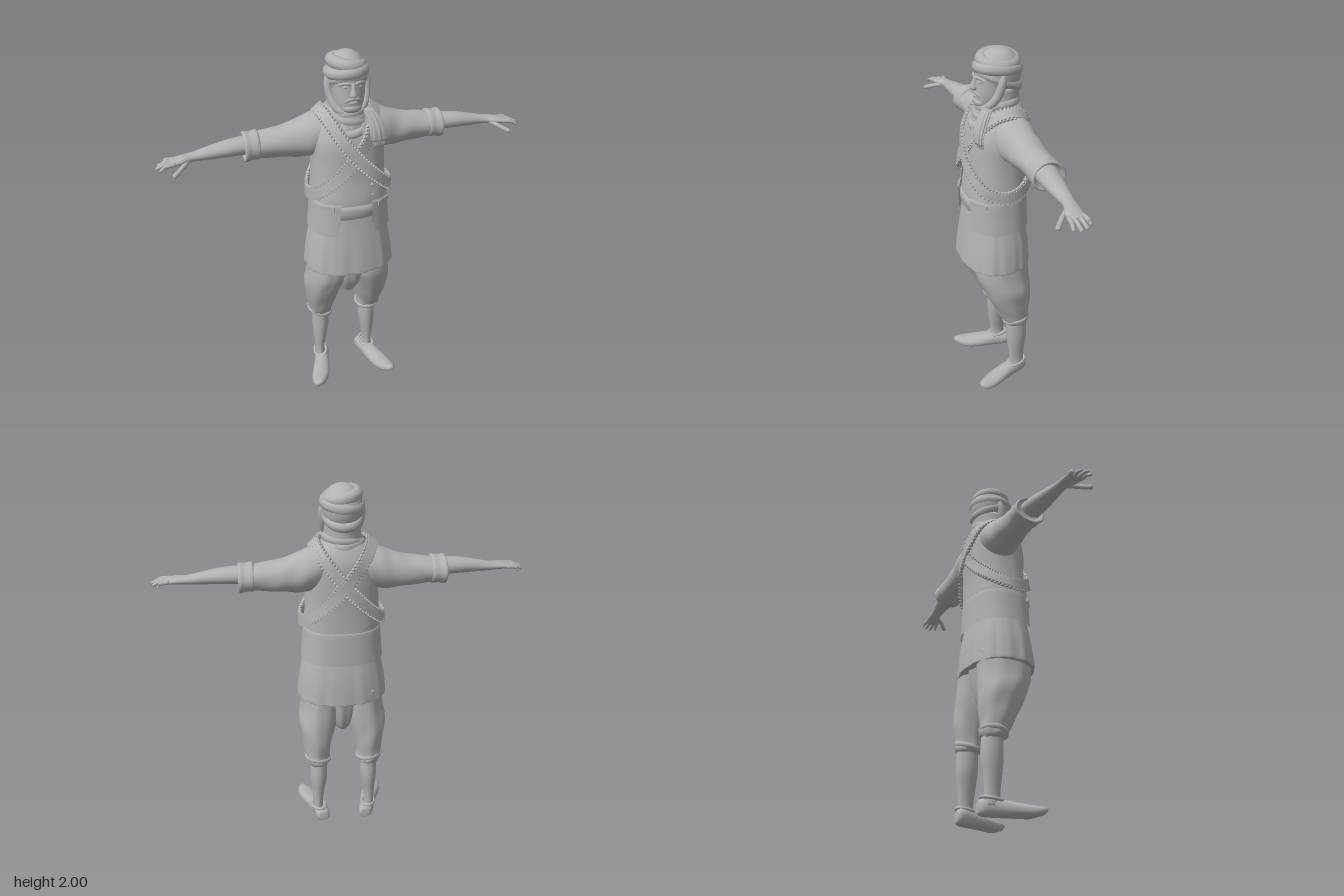
import * as THREE from 'three';
import { mergeGeometries, mergeVertices } from 'three/addons/utils/BufferGeometryUtils.js';

const V = (x, y, z) => new THREE.Vector3(x, y, z);
const spow = (v, e) => Math.sign(v) * Math.abs(v) ** e;
const clay = new THREE.MeshStandardMaterial({ color: 0xb2b2b2, side: THREE.DoubleSide });
clay.name = 'clay grey';

// Smoothly interpolate ring values between key cross-sections
function smoothRings(keys, steps) {
  const out = [];
  const at = i => keys[Math.max(0, Math.min(keys.length - 1, i))];
  for (let i = 0; i < keys.length - 1; i++) {
    for (let s = 0; s < steps; s++) {
      const u = s / steps;
      out.push(at(i).map((b, k) => {
        const a = at(i - 1)[k], c = at(i + 1)[k], d = at(i + 2)[k];
        return b + 0.5 * u * (c - a + u * (2 * a - 5 * b + 4 * c - d + u * (3 * (b - c) + d - a)));
      }));
    }
  }
  out.push(at(keys.length - 1));
  return out;
}

// Loft of ovals [cx, cy, cz, a, b, frontGap] along an axis; e < 1 makes them boxier
function loft(keys, { axis = 'y', n = 40, steps = 4, e = 1, cap = true, fold = () => 0 } = {}) {
  const rings = smoothRings(keys, steps);
  if (cap) {
    const tip = r => [r[0], r[1], r[2], 0, 0];
    rings.unshift(tip(rings[0]));
    rings.push(tip(rings[rings.length - 1]));
  }
  const pos = [], index = [];
  rings.forEach(([cx, cy, cz, a, b, gap = 0], i) => {
    const t0 = gap > 0 ? Math.asin(Math.min(1, gap / a) ** (1 / e)) : 0;
    for (let j = 0; j <= n; j++) {
      const t = t0 + (2 * Math.PI - 2 * t0) * (j % n === 0 && !t0 ? 0 : j / n);
      const k = 1 + fold(t, i / (rings.length - 1));
      const s = a * k * spow(Math.sin(t), e), c = b * k * spow(Math.cos(t), e);
      if (axis === 'y') pos.push(cx + s, cy, cz + c);
      else if (axis === 'x') pos.push(cx, cy + c, cz + s);
      else pos.push(cx + c, cy + s, cz);
      if (i && j) {
        const q = i * (n + 1) + j, p = q - n - 1;
        index.push(p - 1, p, q, p - 1, q, q - 1);
      }
    }
  });
  let g = new THREE.BufferGeometry();
  g.setAttribute('position', new THREE.Float32BufferAttribute(pos, 3));
  g.setIndex(index);
  g = mergeVertices(g, 1e-5);
  g.computeVertexNormals();
  return g;
}

function mirrored(geo) {
  const g = geo.clone().applyMatrix4(new THREE.Matrix4().makeScale(-1, 1, 1));
  g.index.array.reverse();
  return g;
}

const tube = (pts, r, closed = false, seg = 40) =>
  new THREE.TubeGeometry(new THREE.CatmullRomCurve3(pts, closed), seg, r, 10, closed);
const ball = (x, y, z, a, b, c) => new THREE.SphereGeometry(1, 24, 16).scale(a, b, c).translate(x, y, z);

// Cloth roll around the head or neck, tilted front to back and side to side
function wrap(y, rx, rz, cz, r, tilt, roll) {
  const pts = [];
  for (let i = 0; i < 16; i++) {
    const t = i / 16 * Math.PI * 2;
    pts.push(V(rx * Math.sin(t), y + tilt * Math.cos(t) + roll * Math.sin(t), cz + rz * Math.cos(t)));
  }
  return tube(pts, r, true, 56);
}

// Cartridge belt: round cartridges and a strap set across a closed path
function cartridgeBelt(pts) {
  const curve = new THREE.CatmullRomCurve3(pts, true), count = 76, bits = [];
  for (let i = 0; i < count; i++) {
    const p = curve.getPointAt(i / count), t = curve.getTangentAt(i / count);
    const n = V(p.x, Math.max(0, p.y - 1.58) * 1.5, p.z + 0.01);
    n.addScaledVector(t, -n.dot(t)).normalize();
    const m = new THREE.Matrix4().makeBasis(t, V(0, 0, 0).crossVectors(n, t), n).setPosition(p);
    bits.push(new THREE.CylinderGeometry(0.0085, 0.0085, 0.07, 8).applyMatrix4(m));
    bits.push(new THREE.BoxGeometry(0.024, 0.05, 0.018).applyMatrix4(m));
  }
  return mergeGeometries(bits);
}

export function createModel() {
  const root = new THREE.Group();
  const add = (name, geo) => {
    const m = new THREE.Mesh(geo, clay);
    m.name = name;
    root.add(m);
  };
  const pair = (name, geo) => { add(name + 'Left', geo); add(name + 'Right', mirrored(geo)); };

  // Shirt, open vest and its flared lower panel
  const body = [[1.1, .01, .19, .15, .09], [1.23, .01, .193, .153, .085], [1.35, 0, .184, .145, .07],
    [1.45, -.005, .18, .147, .05], [1.55, -.01, .18, .147, .035], [1.62, -.02, .16, .135, .04],
    [1.68, -.03, .125, .105, .04], [1.72, -.03, .08, .08, .03]];
  const crease = (t, s) => .008 * Math.sin(7 * t + 9 * s) * Math.sin(s * 3.1);
  add('shirt', loft(body.map(([y, z, a, b]) => [0, y, z, a, b]), { e: .85 }));
  add('vest', loft(body.map(([y, z, a, b, g]) => [0, y, z, a + .013, b + .013, g]),
    { e: .85, cap: false, n: 56, fold: crease }));
  add('vestLowerPanel', loft([[0, 1.05, .01, .225, .174, .1], [0, 1.14, .01, .216, .172, .095],
    [0, 1.225, .01, .21, .17, .085], [0, 1.235, .01, .203, .163, .085]], { e: .85, cap: false, n: 56 }));
  for (let i = 0; i < 4; i++) add('vestButton', ball(.09 - i * .004, 1.27 + i * .06, .157 + .002 * i, .008, .008, .006));
  pair('pocketFlap', new THREE.BoxGeometry(.08, .025, .009).rotateY(.62).translate(.153, 1.215, .138));
  add('sash', loft([[0, 1.14, .01, .19, .155], [0, 1.17, .01, .198, .164], [0, 1.2, .01, .196, .162],
    [0, 1.22, .01, .186, .15]], { e: .85, fold: (t, s) => .006 * Math.sin(4 * t + 12 * s) }));

  // Long tunic skirt with hanging pleats
  add('tunicSkirt', loft([[0, .81, .013, .245, .185], [0, .83, .013, .247, .185], [0, .95, .01, .232, .175],
    [0, 1.08, .01, .204, .158], [0, 1.18, .01, .185, .147]],
  { e: .85, n: 96, fold: (t, s) => (1 - s) * (.014 * Math.sin(13 * t) + .01 * Math.sin(22 * t + 1)) }));

  // Baggy trousers, calves and slippers
  pair('trouserLeg', loft([[.145, .39, -.08, .05, .058], [.147, .41, -.078, .067, .07], [.15, .46, -.065, .07, .085],
    [.147, .55, -.045, .087, .112], [.14, .65, -.022, .108, .134], [.122, .75, 0, .112, .15], [.11, .88, 0, .11, .15]],
  { n: 56, steps: 6, fold: (t, s) => .03 * Math.sin(3 * t + 22 * s) * (1 - s) + .015 * Math.sin(8 * t + 5 * s) }));
  pair('trouserCuff', wrap(.425, .062, .064, -.075, .015, -.012, .012).translate(.148, 0, 0));
  add('trouserSeat', loft([[0, .59, -.01, .025, .05], [0, .63, -.01, .055, .085], [0, .72, 0, .085, .125],
    [0, .86, 0, .11, .15]], { fold: (t, s) => .03 * Math.sin(9 * t) }));
  pair('calf', loft([[.152, .05, -.085, .032, .046], [.152, .12, -.085, .027, .043], [.15, .2, -.082, .036, .05],
    [.146, .3, -.083, .048, .061], [.145, .42, -.08, .046, .058]], { n: 28 }));
  const shoe = loft([[.125, .045, -.15, .028, .025], [.13, .047, -.125, .045, .042], [.15, .045, -.05, .045, .044],
    [.175, .038, .03, .038, .052], [.2, .032, .1, .032, .052], [.218, .036, .15, .025, .036],
    [.226, .045, .178, .01, .013]], { axis: 'z', n: 28, e: .9 });
  const sp = shoe.attributes.position;
  for (let i = 0; i < sp.count; i++) sp.setY(i, Math.max(sp.getZ(i) > .1 ? (sp.getZ(i) - .1) * .3 : 0, sp.getY(i)));
  shoe.computeVertexNormals();
  pair('slipper', shoe);
  pair('slipperRim', wrap(.086, .036, .056, -.078, .009, -.008, 0).rotateY(.25).translate(.168, 0, -.008));

  // Sleeves with rolled cuffs
  pair('sleeve', loft([[.06, 1.59, -.045, .09, .085], [.13, 1.582, -.045, .105, .107], [.19, 1.565, -.048, .107, .112],
    [.26, 1.55, -.053, .095, .097], [.35, 1.543, -.056, .087, .08], [.47, 1.54, -.056, .078, .066]],
  { axis: 'x', steps: 7, fold: (t, s) => .022 * Math.sin(24 * s + 2 * t) * s + .012 * Math.sin(5 * t + 8 * s) }));
  pair('rolledCuff', loft([[.455, 1.543, -.056, .072, .06], [.465, 1.543, -.056, .084, .075],
    [.5, 1.54, -.056, .083, .072], [.528, 1.538, -.056, .088, .077], [.538, 1.538, -.056, .08, .068],
    [.525, 1.54, -.054, .06, .05]], { axis: 'x', fold: t => .025 * Math.sin(3 * t + 1) }));

  // Bare forearms, palms and fingers
  pair('forearmAndPalm', loft([[.48, 1.552, -.048, .062, .048], [.6, 1.55, -.038, .056, .043],
    [.7, 1.542, -.032, .043, .034], [.79, 1.533, -.028, .033, .023], [.85, 1.53, -.014, .042, .02],
    [.9, 1.525, -.008, .043, .014], [.912, 1.523, -.008, .038, .01]], { axis: 'x', n: 28 }));
  const fingers = [[-.042, -.052, .945], [-.018, -.022, .972], [.006, .01, .982], [.027, .038, .965]];
  for (const [z0, z1, x1] of fingers) {
    pair('finger', loft([[.885, 1.527, z0, .0115, .011], [.93, 1.524, (z0 + z1) / 2, .0105, .01],
      [x1 - .008, 1.511, z1, .009, .008], [x1, 1.508, z1, .004, .004]], { axis: 'x', n: 12 }));
  }
  pair('thumb', tube([V(.82, 1.523, .0), V(.85, 1.512, .035), V(.875, 1.5, .06), V(.895, 1.492, .078)], .0125, false, 12));
  pair('thumbTip', ball(.895, 1.492, .078, .0125, .0125, .0125));

  // Head and face
  add('head', loft([[0, 1.69, .03, .04, .055], [0, 1.72, .025, .063, .076], [0, 1.77, .005, .083, .1],
    [0, 1.83, -.01, .092, .112], [0, 1.9, -.015, .095, .112], [0, 1.95, -.015, .07, .08]]));
  add('nose', loft([[0, 1.797, .1, .012, .012], [0, 1.808, .108, .019, .021], [0, 1.835, .1, .012, .02],
    [0, 1.868, .093, .01, .012]], { n: 16 }));
  pair('eye', ball(.034, 1.846, .086, .015, .008, .01));
  pair('brow', tube([V(.01, 1.862, .098), V(.034, 1.868, .095), V(.066, 1.858, .072)], .008, false, 12));
  pair('moustache', tube([V(0, 1.79, .105), V(.02, 1.786, .103), V(.04, 1.772, .088)], .008, false, 12));
  add('lips', ball(0, 1.768, .1, .022, .008, .01));
  add('beard', ball(0, 1.735, .075, .05, .028, .035));

  // Turban: dome, crossing rolls and the fold under the chin
  add('turbanDome', ball(0, 1.878, -.025, .108, .122, .118));
  add('turbanBrowRoll', wrap(1.9, .083, .097, -.02, .033, .01, .008));
  add('turbanUpperRoll', wrap(1.937, .07, .083, -.022, .034, .002, -.014));
  add('turbanNapeRoll', wrap(1.845, .083, .1, -.023, .026, .045, 0));
  add('chinFold', tube([V(0, 1.93, -.04), V(.093, 1.87, -.01), V(.094, 1.79, .012), V(.065, 1.725, .05),
    V(0, 1.7, .08), V(-.065, 1.725, .05), V(-.094, 1.79, .012), V(-.093, 1.87, -.01)], .022, true, 56));

  // Neck scarf and its fringed tail
  add('scarfCore', loft([[0, 1.6, -.01, .115, .13], [0, 1.66, -.015, .115, .125], [0, 1.72, -.02, .1, .11],
    [0, 1.81, -.03, .09, .105]], { fold: (t, s) => .02 * Math.sin(4 * t + 14 * s) }));
  add('scarfUpperRoll', wrap(1.715, .082, .093, -.018, .027, -.012, .012));
  add('scarfMiddleRoll', wrap(1.68, .094, .1, -.015, .028, -.018, -.012));
  add('scarfLowerRoll', wrap(1.65, .095, .115, -.005, .025, -.045, .012));
  add('scarfTail', loft([[.122, 1.565, .135, .045, .016], [.118, 1.62, .128, .043, .022], [.105, 1.68, .1, .035, .026],
    [.085, 1.72, .07, .025, .025]], { n: 48, fold: t => .12 * Math.sin(10 * t) }));
  for (let i = 0; i < 7; i++) {
    add('scarfFringe', new THREE.CylinderGeometry(.005, .003, .035, 6).translate(.086 + i * .012, 1.553, .138 - i * .002));
  }

  // Two crossed cartridge belts
  const path = [[-.13, 1.69, .05], [-.07, 1.59, .145], [0, 1.495, .173], [.1, 1.39, .17], [.19, 1.305, .115],
    [.226, 1.275, .01], [.19, 1.31, -.1], [.08, 1.42, -.175], [-.04, 1.56, -.183], [-.115, 1.66, -.14], [-.148, 1.708, -.045]];
  add('beltRightShoulder', cartridgeBelt(path.map(p => V(...p))));
  add('beltLeftShoulder', cartridgeBelt(path.map(([x, y, z]) => V(-x, y - .005, z * .95))));

  return root;
}
